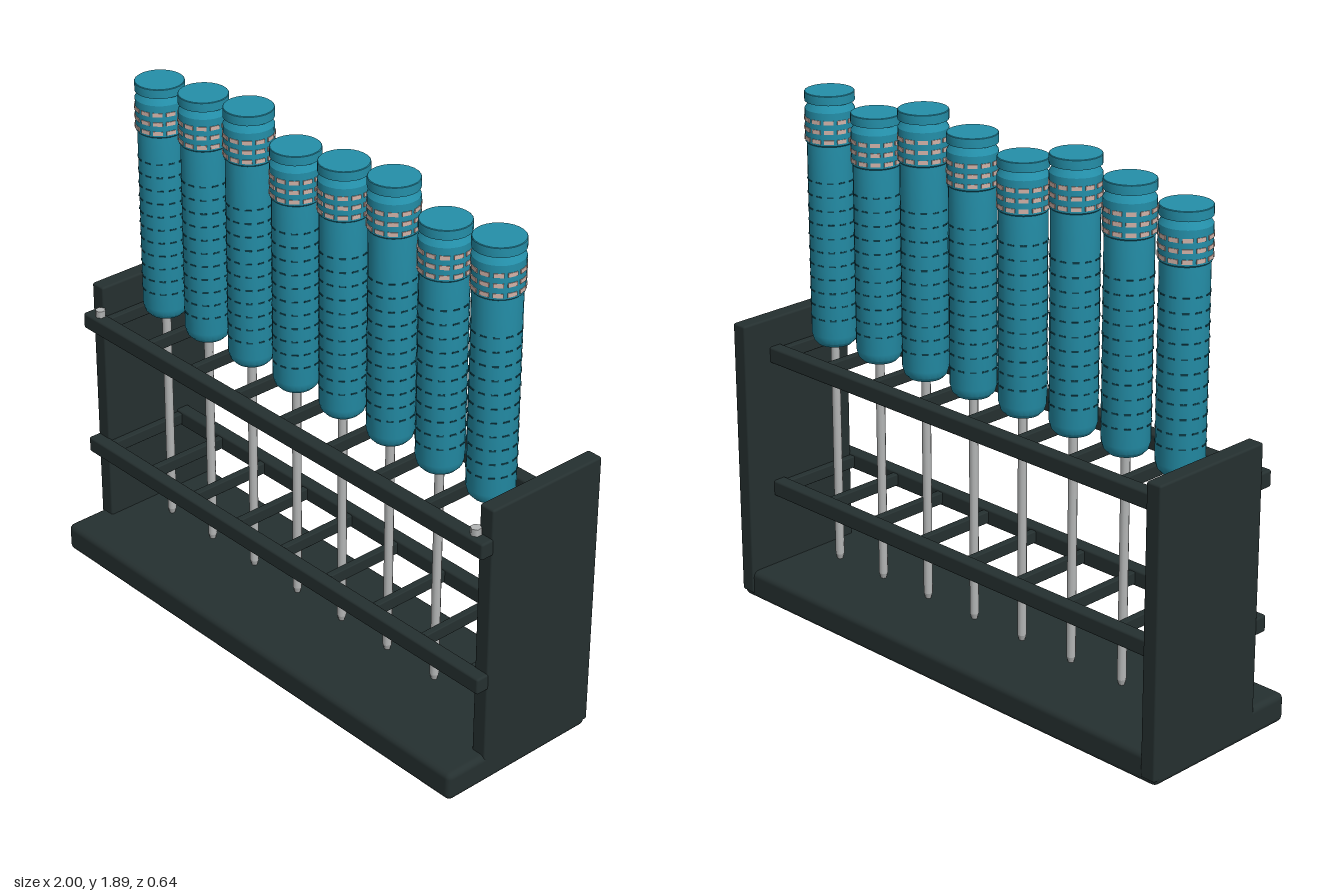
import * as THREE from 'three';
import { mergeGeometries, toCreasedNormals } from 'three/addons/utils/BufferGeometryUtils.js';
import { RoundedBoxGeometry } from 'three/addons/geometries/RoundedBoxGeometry.js';

const material = (name, color) => {
  const m = new THREE.MeshStandardMaterial({ color });
  m.name = name;
  return m;
};

export function createModel() {
  const model = new THREE.Group();
  model.name = 'toolRack';
  const frame = material('darkFrame', 0x253030);
  const teal = material('tealHandle', 0x248fa9);
  const grip = material('darkGrip', 0x124a58);
  const steel = material('steel', 0xb4b6b6);
  const band = material('paleBand', 0xd2b2a8);

  const add = (parent, name, geometry, mat, x = 0, y = 0, z = 0) => {
    const mesh = new THREE.Mesh(geometry, mat);
    mesh.name = name;
    mesh.position.set(x, y, z);
    parent.add(mesh);
    return mesh;
  };
  // Slightly rounded bar given by its limits on each axis
  const bar = (name, [x0, x1], [y0, y1], [z0, z1], r = 0.008) =>
    add(model, name, new RoundedBoxGeometry(x1 - x0, y1 - y0, z1 - z0, 2, r), frame,
      (x0 + x1) / 2, (y0 + y1) / 2, (z0 + z1) / 2);

  // Ring of small thin plates around a handle
  const dashes = (radius, y, count, width, height) => {
    const list = [];
    for (let i = 0; i < count; i++) {
      const g = new THREE.BoxGeometry(width, height, 0.006);
      g.translate(0, y, radius);
      g.rotateY((i + 0.5) / count * Math.PI * 2);
      list.push(g);
    }
    return list;
  };

  // Base and end panels
  bar('base', [-1, 1], [0, 0.105], [-0.315, 0.32], 0.022);
  for (const s of [-1, 1]) {
    const xs = s < 0 ? [-1, -0.94] : [0.94, 1];
    bar('endPanel', xs, [0.02, 1.045], [-0.32, 0.162]);
    add(model, 'bolt', new THREE.CylinderGeometry(0.019, 0.019, 0.03, 6), steel, s * 0.94, 0.95, 0.176);
  }

  // Two ladder shelves that hold the tools
  const spacing = 0.2314;
  for (const y of [0.4, 0.91]) {
    bar('frontRail', [-1, 1], [y - 0.03, y + 0.03], [0.155, 0.207]);
    bar('rearRail', [-0.945, 0.945], [y - 0.03, y + 0.03], [-0.207, -0.155]);
    for (let i = 0; i <= 8; i++) {
      const x = (i - 4) * spacing;
      bar('divider', [x - 0.013, x + 0.013], [y - 0.022, y + 0.022], [-0.16, 0.16], 0.004);
    }
  }

  // Tools: steel shaft, gripped handle, collar and cap
  for (let i = 0; i < 8; i++) {
    const tool = new THREE.Group();
    tool.name = 'tool';
    tool.position.set((i - 3.5) * spacing, 0, -0.016);
    model.add(tool);
    const top = 1.83 + (i % 3) * 0.03;

    add(tool, 'shaft', new THREE.CylinderGeometry(0.016, 0.016, 0.83, 10), steel, 0, 0.54, 0);
    add(tool, 'shaftTip', new THREE.CylinderGeometry(0.016, 0.01, 0.02, 10), steel, 0, 0.115, 0);

    const profile = [
      [0, 0.945], [0.06, 0.945], [0.074, 0.96], [0.081, 0.985], [0.081, top - 0.18],
      [0.086, top - 0.175], [0.086, top - 0.06], [0.07, top - 0.036], [0.07, top - 0.033],
      [0.086, top - 0.033], [0.086, top - 0.002], [0.084, top], [0, top],
    ].map(([r, y]) => new THREE.Vector2(r, y));
    add(tool, 'handle', toCreasedNormals(new THREE.LatheGeometry(profile, 24), 0.5), teal);

    const gripParts = [];
    for (let y = 1.05; y < 1.6; y += 0.05) gripParts.push(...dashes(0.0795, y, 12, 0.022, 0.005));
    add(tool, 'gripMarks', mergeGeometries(gripParts), grip);

    const bandParts = [0.093, 0.127, 0.161].flatMap((d) => dashes(0.0845, top - d, 12, 0.033, 0.014));
    add(tool, 'bandMarks', mergeGeometries(bandParts), band);
  }
  return model;
}
